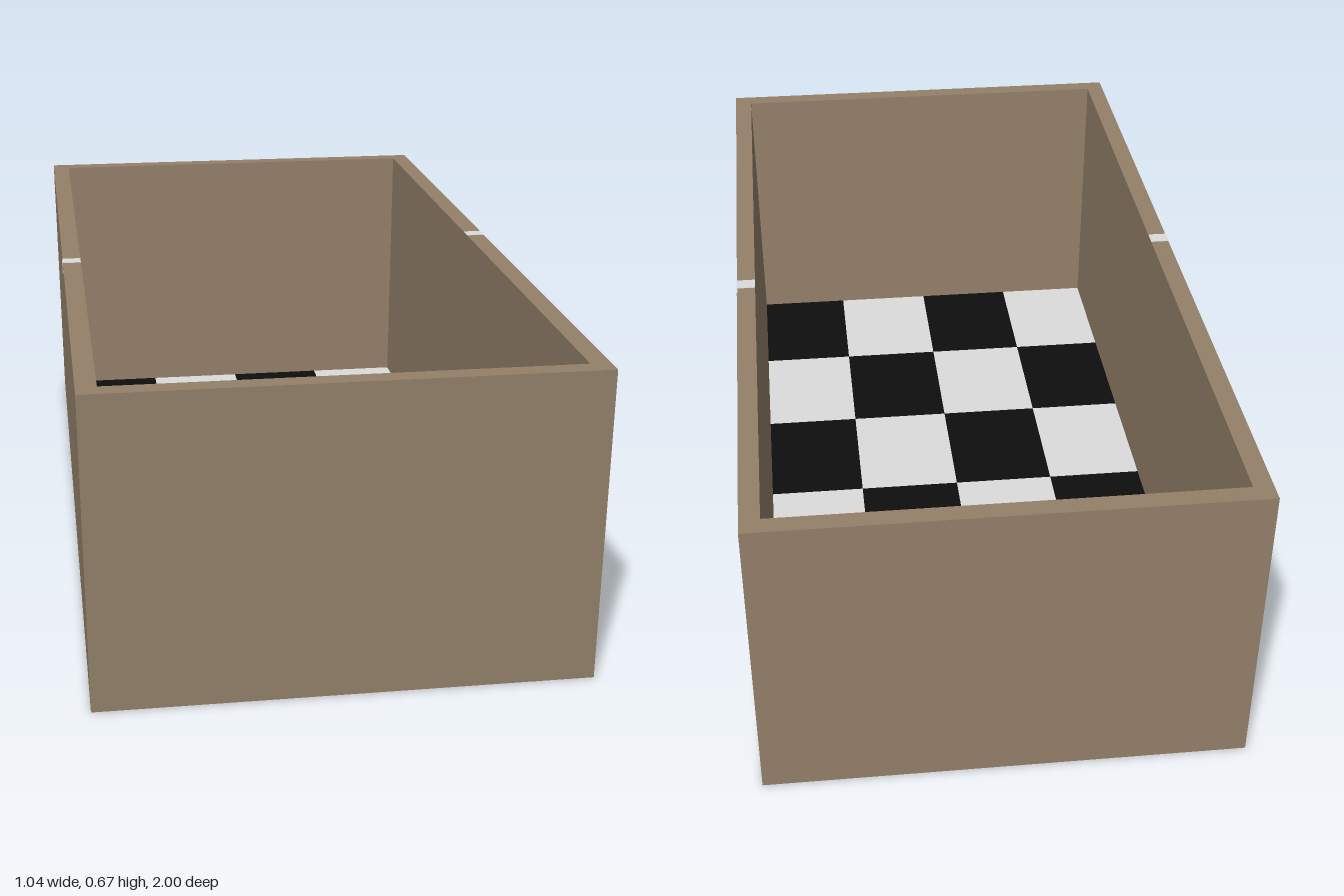
import * as THREE from 'three';
import { mergeGeometries } from 'three/addons/utils/BufferGeometryUtils.js';

const mat = (name, color) => new THREE.MeshStandardMaterial({ name, color });
const H = 0.67, HX = 0.52, HZ = 1, WALL = 0.042;

// rectangle outline centred on the origin
function rect(path, x, z) {
  path.moveTo(-x, -z);
  path.lineTo(x, -z);
  path.lineTo(x, z);
  path.lineTo(-x, z);
  path.closePath();
  return path;
}

// four walls as one frame, slightly narrower at the foot
function wallGeometry() {
  const shape = rect(new THREE.Shape(), HX, HZ);
  shape.holes.push(rect(new THREE.Path(), HX - WALL, HZ - WALL));
  const g = new THREE.ExtrudeGeometry(shape, { depth: H - 0.001, bevelEnabled: false });
  g.rotateX(-Math.PI / 2).translate(0, 0.001, 0);
  const p = g.attributes.position;
  for (let i = 0; i < p.count; i++) {
    const t = 1 - p.getY(i) / H;
    p.setX(i, p.getX(i) * (1 - 0.012 * t));
    p.setZ(i, p.getZ(i) * (1 - 0.006 * t));
  }
  g.computeVertexNormals();
  return g;
}

// one colour of a 4 x 6 checkerboard, facing up or down
function checks(parity, x0, x1, z0, z1, y, up) {
  const w = (x1 - x0) / 4, d = (z1 - z0) / 6, tiles = [];
  for (let c = 0; c < 4; c++) {
    for (let r = 0; r < 6; r++) {
      if ((c + r) % 2 !== parity) continue;
      const tile = new THREE.PlaneGeometry(w, d);
      tile.rotateX(up ? -Math.PI / 2 : Math.PI / 2);
      tile.translate(x0 + (c + 0.5) * w, y, z0 + (r + 0.5) * d);
      tiles.push(tile);
    }
  }
  return mergeGeometries(tiles);
}

export function createModel() {
  const model = new THREE.Group();
  model.name = 'openBox';
  const brown = mat('brown', 0x94816a);
  const white = mat('white', 0xdcdcdc);
  const black = mat('black', 0x0e0e0e);

  const add = (name, geometry, material, parent = model) => {
    const mesh = new THREE.Mesh(geometry, material);
    mesh.name = name;
    parent.add(mesh);
    return mesh;
  };

  add('walls', wallGeometry(), brown);

  // chequered floor, inside and underneath
  [[black, 'black'], [white, 'white']].forEach(([material, label], parity) => {
    add(label + 'FloorTiles', checks(parity, -0.486, 0.486, -0.96, 0.953, 0.018, true), material);
    add(label + 'UndersideTiles', checks(parity, -0.514, 0.514, -0.994, 0.994, 0, false), material);
  });

  // small pale mark on each long rim, repeated by a half turn
  for (const turn of [0, Math.PI]) {
    const marks = new THREE.Group();
    marks.name = turn ? 'leftoverMarkOpposite' : 'rimMark';
    marks.rotation.y = turn;
    model.add(marks);

    const top = add('rimTopMark', new THREE.BoxGeometry(WALL, 0.002, 0.036), white, marks);
    top.position.set(HX - WALL / 2, H, -0.06);

    const wedge = new THREE.Shape([[0.052, 0], [0.098, 0], [0.09, -0.02], [0.07, -0.038], [0.055, -0.033]]
      .map(([u, v]) => new THREE.Vector2(u, v)));
    const side = add('rimSideMark',
      new THREE.ExtrudeGeometry(wedge, { depth: 0.002, bevelEnabled: false }), white, marks);
    side.rotation.y = Math.PI / 2;
    side.position.set(HX - 0.001, H, 0);
  }
  return model;
}
